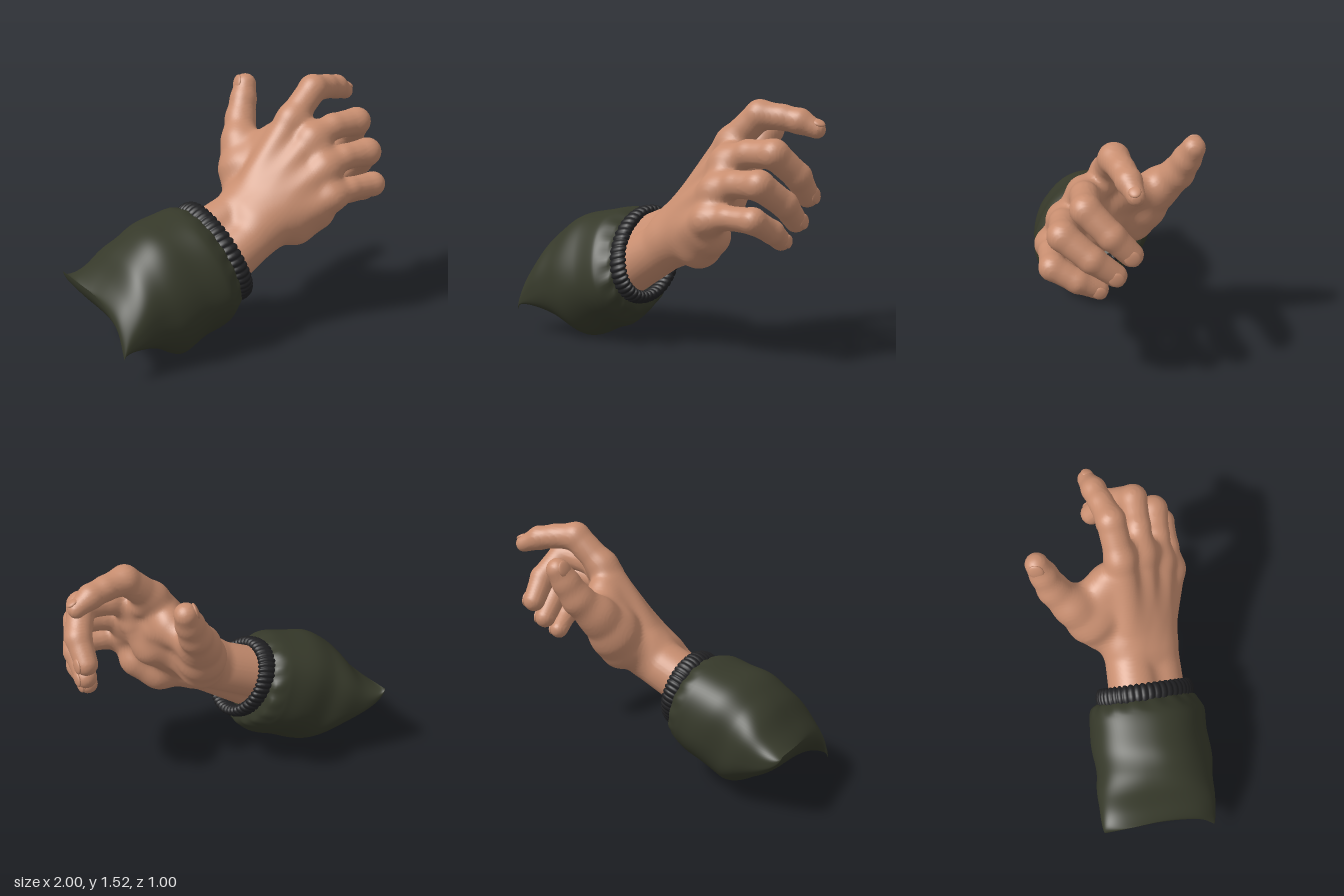
import * as THREE from 'three';

const V = (x, y, z) => new THREE.Vector3(x, y, z);
const skin = new THREE.MeshStandardMaterial({ color: 0xc88e70 });
const cloth = new THREE.MeshStandardMaterial({ color: 0x36392a, side: THREE.DoubleSide });
const rib = new THREE.MeshStandardMaterial({ color: 0x202022 });
skin.name = 'skin';
cloth.name = 'olive cloth';
rib.name = 'black ribbing';

// Each chain lists joints as [x, y, z, radius]
const bodyChains = [
  [[-0.33, 0.565, 0.065, 0.16], [0.08, 0.74, 0.06, 0.15]],                         // forearm, thumb side
  [[-0.3, 0.41, 0.235, 0.16], [0.1, 0.655, 0.225, 0.15]],                          // forearm, outer side
  [[0.1, 0.8, 0.08, 0.12], [0.44, 1.27, 0.065, 0.09]],                             // back of hand
  [[0.1, 0.75, 0.15, 0.13], [0.51, 1.17, 0.2, 0.09]],
  [[0.1, 0.7, 0.2, 0.14], [0.52, 1.005, 0.315, 0.1]],
  [[0.12, 0.67, 0.225, 0.13], [0.52, 0.85, 0.392, 0.092]],
  [[0.5, 1.22, 0.1, 0.08], [0.53, 1.1, 0.24, 0.08], [0.53, 0.92, 0.33, 0.08]],     // webs between fingers
  [[0.18, 0.67, 0.2, 0.115], [0.34, 0.675, 0.25, 0.135], [0.46, 0.745, 0.3, 0.125]], // heel of palm
  [[0.26, 0.82, 0.12, 0.13], [0.42, 0.93, 0.13, 0.135], [0.5, 1.06, 0.17, 0.1]],   // palm
  [[0.28, 0.9, 0.0, 0.12], [0.4, 1.07, 0.04, 0.11]],
  [[0.23, 0.98, -0.09, 0.1], [0.38, 1.15, -0.02, 0.085]],                          // thumb web
  [[0.29, 1.06, -0.2, 0.09], [0.37, 1.1, -0.06, 0.09]],
  [[0.12, 0.79, 0.0, 0.12], [0.2, 0.84, -0.09, 0.135], [0.22, 0.935, -0.15, 0.145], [0.265, 1.08, -0.25, 0.113]], // thumb mound
];
const fingers = [
  { name: 'thumb', nail: V(-0.8, 0.45, -0.2), chain: [[0.265, 1.07, -0.25, 0.112], [0.335, 1.2, -0.35, 0.096], [0.385, 1.31, -0.395, 0.083], [0.42, 1.395, -0.428, 0.07]] },
  { name: 'index', nail: V(0.35, 0.85, 0.2), chain: [[0.44, 1.27, 0.065, 0.088], [0.62, 1.435, 0.035, 0.087], [0.75, 1.425, -0.005, 0.073], [0.85, 1.405, -0.035, 0.073], [0.945, 1.36, -0.068, 0.053]] },
  { name: 'middle', nail: V(1, 0, -0.1), chain: [[0.5, 1.17, 0.2, 0.088], [0.66, 1.225, 0.2, 0.08], [0.84, 1.233, 0.2, 0.085], [0.908, 1.1, 0.06, 0.078], [0.9, 0.98, -0.048, 0.069]] },
  { name: 'ring', nail: V(1, 0, -0.1), chain: [[0.51, 1.01, 0.315, 0.088], [0.66, 1.06, 0.322, 0.078], [0.83, 1.068, 0.328, 0.085], [0.895, 0.95, 0.17, 0.076], [0.882, 0.84, 0.038, 0.066]] },
  { name: 'little', nail: V(1, -0.1, -0.2), chain: [[0.51, 0.85, 0.392, 0.083], [0.66, 0.877, 0.395, 0.069], [0.835, 0.875, 0.388, 0.074], [0.868, 0.8, 0.25, 0.067], [0.845, 0.735, 0.132, 0.059]] },
];

// Distance to a tapering rounded segment
function segment(x, y, z, a, b) {
  const bx = b[0] - a[0], by = b[1] - a[1], bz = b[2] - a[2];
  const px = x - a[0], py = y - a[1], pz = z - a[2];
  const h = Math.min(1, Math.max(0, (px * bx + py * by + pz * bz) / (bx * bx + by * by + bz * bz)));
  const dx = px - h * bx, dy = py - h * by, dz = pz - h * bz;
  return Math.sqrt(dx * dx + dy * dy + dz * dz) - a[3] - h * (b[3] - a[3]);
}
function blend(a, b, k) {
  const h = Math.max(k - Math.abs(a - b), 0);
  return Math.min(a, b) - (h * h) / (4 * k);
}
function chainDistance(x, y, z, chain, k) {
  let d = 9;
  for (let i = 0; i + 1 < chain.length; i++) d = blend(d, segment(x, y, z, chain[i], chain[i + 1]), k);
  return d;
}
function handDistance(x, y, z) {
  let body = 9;
  for (const c of bodyChains) body = blend(body, chainDistance(x, y, z, c, 0.03), 0.06);
  let d = body;
  for (const f of fingers) d = Math.min(d, blend(body, chainDistance(x, y, z, f.chain, 0.018), 0.04));
  return d;
}

// Smooth skin wrapped over the distance rule (one vertex per crossed grid cell)
function skinGeometry() {
  const s = 0.0135, min = [-0.52, 0.2, -0.54], n = [116, 102, 81];
  const step = [1, n[0], n[0] * n[1]], total = step[2] * n[2];
  const d = new Float32Array(total), cell = new Int32Array(total).fill(-1);
  const each = (lo, hi, fn) => {
    for (let k = lo; k < n[2] - hi; k++)
      for (let j = lo; j < n[1] - hi; j++)
        for (let i = lo; i < n[0] - hi; i++) fn(i, j, k, i + j * step[1] + k * step[2]);
  };
  each(0, 0, (i, j, k, id) => { d[id] = handDistance(min[0] + i * s, min[1] + j * s, min[2] + k * s); });
  const pos = [], index = [];
  each(0, 1, (i, j, k, id) => {
    let count = 0;
    const sum = [0, 0, 0];
    for (let c = 0; c < 8; c++) {
      const o = [c & 1, (c >> 1) & 1, c >> 2];
      const corner = id + o[0] + o[1] * step[1] + o[2] * step[2];
      const a = d[corner];
      for (let ax = 0; ax < 3; ax++) {
        if (o[ax]) continue;
        const b = d[corner + step[ax]];
        if ((a < 0) === (b < 0)) continue;
        for (let m = 0; m < 3; m++) sum[m] += o[m] + (m === ax ? a / (a - b) : 0);
        count++;
      }
    }
    if (!count) return;
    cell[id] = pos.length / 3;
    [i, j, k].forEach((g, m) => pos.push(min[m] + (g + sum[m] / count) * s));
  });
  each(1, 1, (i, j, k, id) => {
    for (let ax = 0; ax < 3; ax++) {
      const inside = d[id] < 0;
      if (inside === d[id + step[ax]] < 0) continue;
      const u = step[(ax + 1) % 3], v = step[(ax + 2) % 3];
      const q = [cell[id], cell[id - u], cell[id - u - v], cell[id - v]];
      if (!inside) q.reverse();
      index.push(q[0], q[1], q[2], q[0], q[2], q[3]);
    }
  });
  return toGeometry(pos, index);
}

function toGeometry(pos, index) {
  const g = new THREE.BufferGeometry();
  g.setAttribute('position', new THREE.Float32BufferAttribute(pos, 3));
  g.setIndex(index);
  g.computeVertexNormals();
  return g;
}
// Surface from rows of closed loops; closeRows joins the last row to the first
function loops(rows, cols, closeRows, fn) {
  const pos = [], index = [];
  for (let i = 0; i < rows; i++) for (let j = 0; j < cols; j++) pos.push(...fn(i, j).toArray());
  for (let i = 0; i < (closeRows ? rows : rows - 1); i++)
    for (let j = 0; j < cols; j++) {
      const k = (j + 1) % cols, r = (i + 1) % rows;
      const a = i * cols + j, b = i * cols + k, c = r * cols + j, e = r * cols + k;
      index.push(a, b, c, b, e, c);
    }
  return toGeometry(pos, index);
}

// Sleeve stations from cuff to end: top x, y, bottom x, y, z low, z high, squareness
const stations = [
  [-0.25, 0.77, -0.12, 0.3, -0.13, 0.4, 1], [-0.3, 0.805, -0.125, 0.21, -0.2, 0.45, 1],
  [-0.4, 0.82, -0.19, 0.14, -0.24, 0.49, 0.95], [-0.56, 0.785, -0.32, 0.075, -0.245, 0.495, 0.95],
  [-0.7, 0.73, -0.5, 0.005, -0.245, 0.495, 0.9], [-0.79, 0.65, -0.64, 0.045, -0.25, 0.49, 0.8],
  [-0.86, 0.56, -0.77, 0.08, -0.26, 0.49, 0.7], [-0.97, 0.47, -0.96, 0.13, -0.26, 0.49, 0.6],
];
const track = (fn) => new THREE.CatmullRomCurve3(stations.map(fn));
const topLine = track((q) => V(q[0], q[1], 0));
const bottomLine = track((q) => V(q[2], q[3], 0));
const sideLine = track((q) => V(q[4], q[5], q[6]));
// Slanting, arched line where the sleeve end is pinched shut
const endLine = new THREE.CatmullRomCurve3([
  V(-1, 0.47, -0.235), V(-0.985, 0.45, -0.07), V(-0.965, 0.42, 0.14), V(-0.96, 0.32, 0.36), V(-0.965, 0.15, 0.465)]);
const power = (v, e) => Math.sign(v) * Math.pow(Math.abs(v), e);

function sleevePoint(u, t) {
  const T = topLine.getPoint(u), B = bottomLine.getPoint(u), w = sideLine.getPoint(u);
  const mid = T.clone().add(B).multiplyScalar(0.5), up = T.sub(B).multiplyScalar(0.5);
  const fade = Math.sin(Math.PI * u);
  const folds = 1 + fade * (0.03 * Math.sin(3 * t + 9 * u) * Math.sin(2 * t - 14 * u) - 0.01)
    + 0.02 * Math.sin(17 * t) * Math.max(0, 1 - Math.abs(u - 0.13) * 8);
  const sn = power(Math.sin(t), w.z) * folds, cs = power(Math.cos(t), w.z) * folds;
  const p = mid.addScaledVector(up, sn);
  p.y += 0.1 * fade * Math.max(0, -sn) * Math.max(0, -cs);
  p.z = (w.x + w.y) / 2 + ((w.y - w.x) / 2) * cs - 0.09 * sn * (1 - u);
  // The underside folds in towards the end sooner than the top
  const pinch = Math.pow(Math.max(0, (u - 0.57) / 0.43), 2 + 0.5 * Math.sin(t));
  return p.lerp(endLine.getPoint((1 + Math.cos(t)) / 2), pinch);
}

export function createModel() {
  const model = new THREE.Group();
  const add = (name, geometry, material) => {
    const m = new THREE.Mesh(geometry, material);
    m.name = name;
    model.add(m);
    return m;
  };
  const turn = Math.PI * 2;

  add('hand', skinGeometry(), skin);

  // Nails: thin domes on the fingertips
  for (const f of fingers) {
    const [a, b] = f.chain.slice(-2).map((q) => V(q[0], q[1], q[2]));
    const r = f.chain[f.chain.length - 1][3];
    const along = b.clone().sub(a).normalize();
    const out = f.nail.clone().addScaledVector(along, -f.nail.dot(along)).normalize();
    const nail = add(f.name + 'Nail', new THREE.SphereGeometry(1, 20, 12), skin);
    nail.scale.set(r * 0.66, 0.016, r * 0.75);
    nail.quaternion.setFromRotationMatrix(new THREE.Matrix4().makeBasis(out.clone().cross(along), out, along));
    nail.position.copy(b).addScaledVector(out, r * 0.84).addScaledVector(along, -r * 0.05);
  }

  // Sleeve with soft folds
  add('sleeve', loops(72, 96, false, (i, j) => sleevePoint(i / 71, (j / 96) * turn)), cloth);

  // Ribbed elastic cuff
  const ribs = 46, rows = ribs * 8;
  const axis = V(0.952, 0.305, 0);
  add('cuff', loops(rows, 14, true, (i, j) => {
    const t = (i / rows) * turn, s = (-j / 14) * turn;
    const swell = 0.85 + 0.2 * Math.abs(Math.sin((t * ribs) / 2));
    const radial = V(-0.305 * Math.sin(t), 0.952 * Math.sin(t), Math.cos(t));
    const p = V(-0.17 - 0.08 * Math.sin(t), 0.55 + 0.245 * Math.sin(t), 0.135 + 0.26 * Math.cos(t) - 0.1 * Math.sin(t));
    return p.addScaledVector(axis, 0.06 * swell * Math.cos(s)).addScaledVector(radial, 0.038 * swell * Math.sin(s));
  }), rib);

  return model;
}
